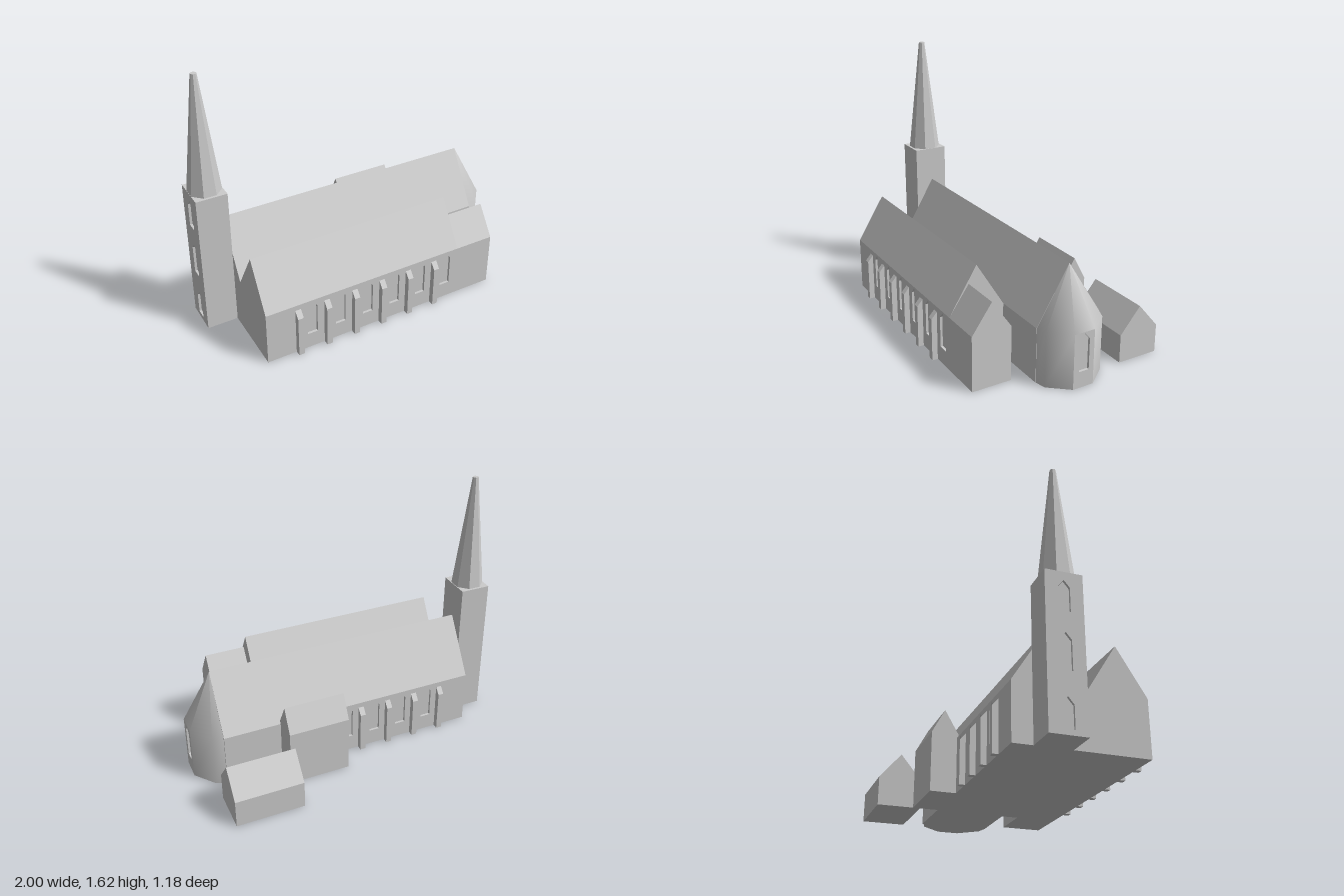
import * as THREE from 'three';
import { toCreasedNormals } from 'three/addons/utils/BufferGeometryUtils.js';

const RECESS = 0.015; // depth of the window niches

export function createModel() {
  const model = new THREE.Group();
  model.name = 'church';
  const stone = new THREE.MeshStandardMaterial({ color: 0xcccccc });
  stone.name = 'grey stone';

  function add(name, geometry, x = 0, y = 0, z = 0) {
    const mesh = new THREE.Mesh(geometry, stone);
    mesh.name = name;
    mesh.position.set(x, y, z);
    model.add(mesh);
    return mesh;
  }

  // Extrudes a [z, y] cross-section from x0 to x1
  function alongX(name, points, x0, x1) {
    const shape = new THREE.Shape(points.map(([z, y]) => new THREE.Vector2(-z, y)));
    const g = new THREE.ExtrudeGeometry(shape, { depth: x1 - x0, bevelEnabled: false });
    return add(name, g.rotateY(Math.PI / 2), x0);
  }

  // Hall with a pitched roof; inset steps a wall back behind its window panel
  function hall(name, x0, x1, [zBack, zFront], eave, [zRidge, ridge], insetBack = 0, insetFront = 0) {
    const pts = [[zBack + insetBack, 0], [zFront - insetFront, 0]];
    if (insetFront) pts.push([zFront - insetFront, eave]);
    pts.push([zFront, eave], [zRidge, ridge], [zBack, eave]);
    if (insetBack) pts.push([zBack + insetBack, eave]);
    alongX(name, pts, x0, x1);
  }

  // Wall panel pierced by pointed windows given as [centre, bottom, top]
  function windowWall(u0, u1, height, windows, width = 0.066) {
    const shape = new THREE.Shape([[u0, 0], [u1, 0], [u1, height], [u0, height]]
      .map(([a, b]) => new THREE.Vector2(a, b)));
    for (const [c, bottom, top] of windows) {
      const h = width / 2;
      shape.holes.push(new THREE.Path([
        [c - h, bottom], [c - h, top - 0.04], [c, top], [c + h, top - 0.04], [c + h, bottom],
      ].map(([a, b]) => new THREE.Vector2(a, b))));
    }
    return new THREE.ExtrudeGeometry(shape, { depth: RECESS, bevelEnabled: false });
  }

  // Buttress with a sloping top; side is +1 for the front wall, -1 for the back
  function buttress(x, wallZ, side) {
    const out = wallZ + side * 0.035, inner = wallZ - side * 0.005;
    const pts = [[inner, 0], [out, 0], [out, 0.265], [wallZ, 0.305], [inner, 0.305]];
    alongX('buttress', pts, x - 0.0175, x + 0.0175);
  }

  // Main halls and annexes
  hall('nave', -0.81, 0.835, [-0.218, 0.205], 0.338, [0, 0.68], RECESS, 0);
  hall('frontAisle', -0.81, 0.487, [0.205, 0.555], 0.338, [0.38, 0.62], 0, RECESS);
  hall('frontAnnex', 0.487, 0.742, [0.307, 0.555], 0.338, [0.43, 0.515]);
  hall('backAnnex', 0.1, 0.48, [-0.373, -0.21], 0.36, [-0.295, 0.505]);
  hall('backOutbuilding', 0.48, 0.9, [-0.592, -0.33], 0.175, [-0.46, 0.33]);

  // Side walls with windows and buttresses
  const bays = [-0.52, -0.335, -0.15, 0.035, 0.22, 0.405];
  const frontWindows = bays.map((x) => [x, 0.1, 0.33]);
  add('frontWindowWall', windowWall(-0.81, 0.487, 0.338, frontWindows), 0, 0, 0.555 - RECESS);
  add('backWindowWall', windowWall(-0.81, 0.835, 0.338, frontWindows.slice(0, 4)), 0, 0, -0.218);
  bays.forEach((x, i) => {
    buttress(x - 0.09, 0.555, 1);
    if (i < 4) buttress(x - 0.09, -0.218, -1);
  });

  // Tower with window openings on its outer end
  const towerZ = 0.006;
  add('tower', new THREE.BoxGeometry(0.19 - RECESS, 0.9, 0.215), -0.81 - (0.19 - RECESS) / 2, 0.45, towerZ);
  const towerWall = windowWall(-0.1075, 0.1075, 0.9, [[0, 0.03, 0.2], [0, 0.34, 0.55], [0, 0.67, 0.85]]);
  add('towerWindowWall', towerWall.rotateY(-Math.PI / 2), -1 + RECESS, 0, towerZ);

  // Eight-sided spire with a blunt tip
  const spire = new THREE.CylinderGeometry(0.018, 0.1, 0.715, 8).rotateY(Math.PI / 8);
  add('spire', spire.toNonIndexed(), -0.906, 0.9 + 0.3575, towerZ).geometry.computeVertexNormals();

  // Apse: faceted walls and a hipped roof running up to the nave ridge
  const plan = [[0.835, 0.203], [0.9, 0.188], [1, 0.068], [1, -0.065], [0.9, -0.19], [0.835, -0.21]];
  const eave = 0.338, corners = [];
  for (let i = 0; i < plan.length - 1; i++) {
    const [ax, az] = plan[i], [bx, bz] = plan[i + 1];
    if (i !== 2) { // the end wall is a separate panel
      corners.push(ax, 0, az, bx, 0, bz, bx, eave, bz, ax, 0, az, bx, eave, bz, ax, eave, az);
    }
    corners.push(ax, eave, az, bx, eave, bz, 0.835, 0.68, 0);
    corners.push(ax, 0, az, 0.835, 0, 0, bx, 0, bz);
  }
  const apse = new THREE.BufferGeometry();
  apse.setAttribute('position', new THREE.Float32BufferAttribute(corners, 3));
  add('apse', toCreasedNormals(apse, 0.95));
  const endWall = windowWall(-0.068, 0.065, eave, [[0, 0.1, 0.33]]);
  add('apseWindowWall', endWall.rotateY(Math.PI / 2), 1 - RECESS);
  add('apseWindow', new THREE.BoxGeometry(0.005, 0.25, 0.08), 1 - RECESS - 0.0025, 0.21, 0);

  return model;
}
